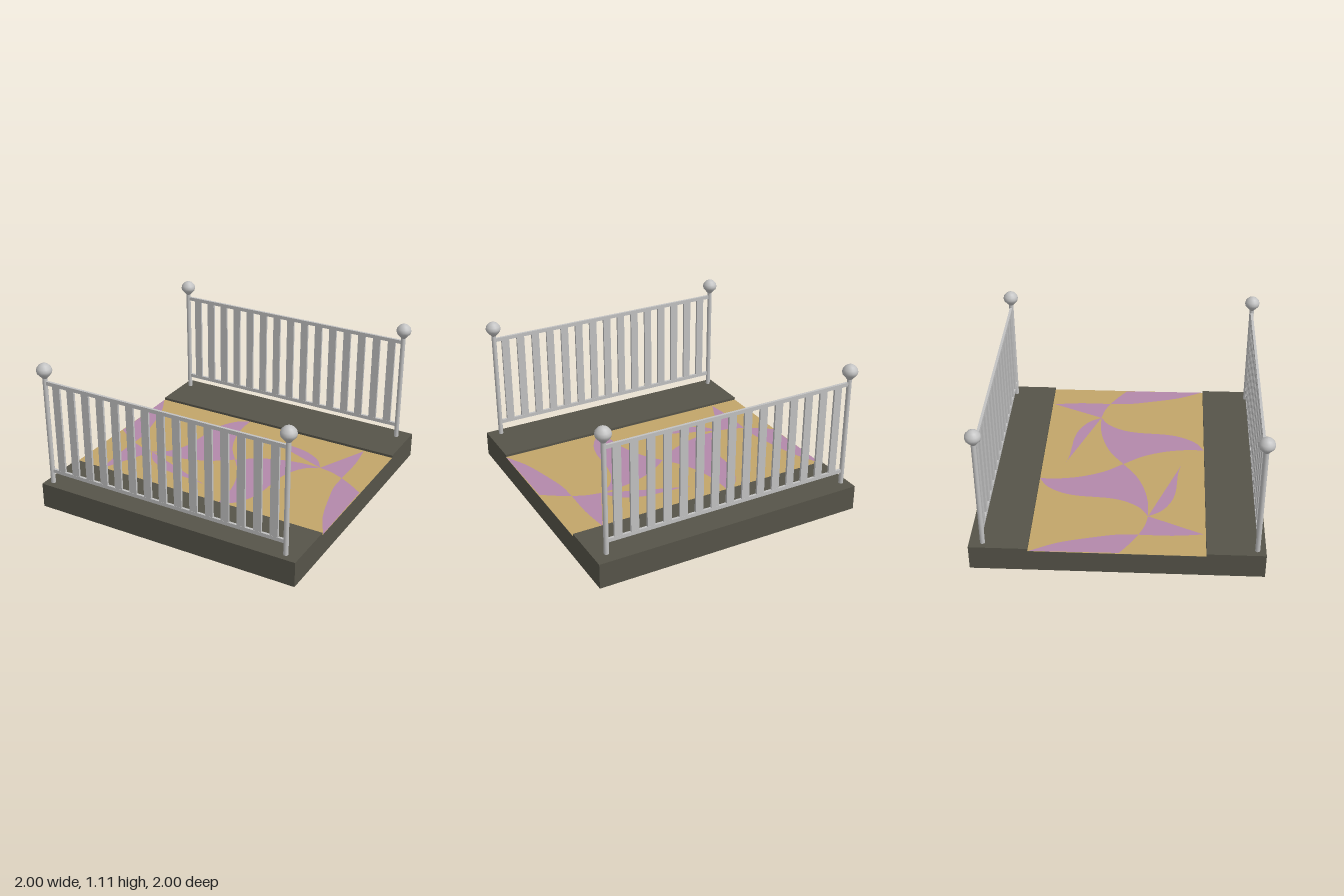
import * as THREE from 'three';

const mat = (name, color) => {
  const m = new THREE.MeshStandardMaterial({ color });
  m.name = name;
  return m;
};

export function createModel() {
  const stone = mat('dark stone', 0x565449);
  const metal = mat('grey metal', 0xc2c2c2);
  const tan = mat('tan tile', 0xc2a56a);
  const purple = mat('purple tile', 0xb388ab);
  const model = new THREE.Group();

  const add = (parent, name, geometry, material, x = 0, y = 0, z = 0) => {
    const mesh = new THREE.Mesh(geometry, material);
    mesh.name = name;
    mesh.position.set(x, y, z);
    parent.add(mesh);
    return mesh;
  };
  const box = (parent, name, m, w, h, d, x, y, z) =>
    add(parent, name, new THREE.BoxGeometry(w, h, d), m, x, y, z);

  // Slab with a recessed floor between two kerbs
  box(model, 'floorSlab', stone, 2, 0.163, 1.2, 0, 0.0815, 0);
  for (const s of [-1, 1]) box(model, 'kerb', stone, 2, 0.183, 0.4, 0, 0.0915, s * 0.8);

  // Tiled floor: tan sheet with purple pinwheel pieces, repeated by a half turn
  const sheet = new THREE.PlaneGeometry(2, 1.2).rotateX(-Math.PI / 2);
  add(model, 'tanFloor', sheet, tan, 0, 0.165, 0);

  // Tile edges in plan, with the second coordinate pointing to the back
  const petalEdge = [[0, 0], [0.14, 0.1], [0.3, 0.165], [0.45, 0.195], [0.6, 0.2]];
  const sEdge = [[0.6, 0.2], [0.51, 0.14], [0.44, 0.03], [0.41, -0.08], [0.4, -0.2],
    [0.39, -0.32], [0.36, -0.43], [0.29, -0.54], [0.2, -0.6]];
  const outerEdge = [[0.6, 0.2], [0.7, 0.18], [0.8, 0.14]];
  const sideEdge = [[0.8, 0.14], [0.805, 0], [0.834, -0.14], [0.91, -0.41], [1, -0.59]];
  const backEdge = [[0.8, 0.14], [0.8, 0.38], [0.775, 0.6]];
  const quarter = (edge, s) => edge.map(([x, y]) => [-s * y, s * x]);
  const reversed = (edge) => [...edge].reverse();
  const smooth = (edge) =>
    new THREE.CatmullRomCurve3(edge.map(([x, y]) => new THREE.Vector3(x, y, 0)))
      .getPoints(28).map((p) => new THREE.Vector2(p.x, p.y));

  const pieces = {
    petalTile: [petalEdge, sEdge, reversed(quarter(petalEdge, -1))],
    backTile: [quarter(sEdge, 1), outerEdge, backEdge].map((e, i) => (i ? e : reversed(e))),
    sideTile: [[[0.8, 0.14], [0.9, 0.08], [1, 0.01]], reversed(sideEdge)],
  };
  for (const [name, edges] of Object.entries(pieces)) {
    const outline = edges.flatMap((e) => smooth(e).slice(0, -1));
    const geometry = new THREE.ShapeGeometry(new THREE.Shape(outline)).rotateX(-Math.PI / 2);
    for (const turn of [0, Math.PI]) {
      add(model, name, geometry, purple, 0, 0.167, 0).rotation.y = turn;
    }
  }

  // Railings: two posts with knobs, two rails and fifteen slats each
  const knobProfile = [[0.017, 0.995], [0.028, 1.008], [0.05, 1.033], [0.055, 1.052],
    [0.05, 1.073], [0.033, 1.093], [0.015, 1.103], [0, 1.105]]
    .map(([r, y]) => new THREE.Vector2(r, y));
  const knob = new THREE.LatheGeometry(knobProfile, 20);
  const post = new THREE.CylinderGeometry(0.017, 0.017, 0.83, 16);
  for (const z of [0.942, -0.908]) {
    const railing = new THREE.Group();
    railing.name = z > 0 ? 'frontRailing' : 'backRailing';
    railing.position.z = z;
    model.add(railing);
    for (const x of [-0.945, 0.905]) {
      add(railing, 'post', post, metal, x, 0.59, 0);
      add(railing, 'knob', knob, metal, x, 0, 0);
    }
    box(railing, 'topRail', metal, 1.84, 0.027, 0.018, -0.02, 0.961, 0);
    box(railing, 'bottomRail', metal, 1.84, 0.027, 0.018, -0.02, 0.282, 0);
    for (let i = 0; i < 15; i++) {
      box(railing, 'slat', metal, 0.058, 0.66, 0.016, -0.853 + i * 0.1194, 0.6215, 0);
    }
  }
  return model;
}
